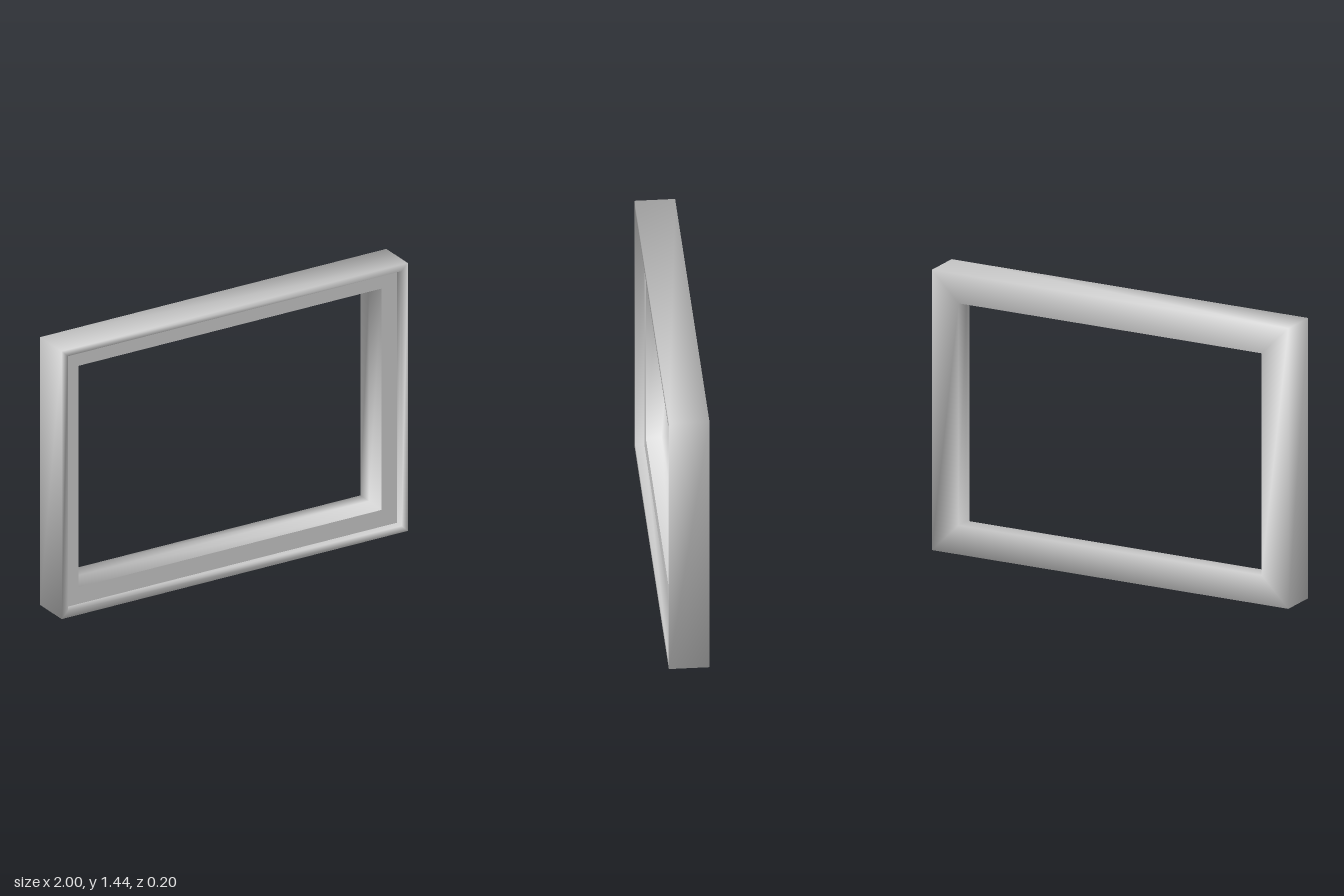
import * as THREE from 'three';

const HALF_W = 1, HALF_H = 0.72;
const CORNERS = [[-1, -1], [1, -1], [1, 1], [-1, 1]];

// Sweeps a profile of [inset, z] points around the four mitred corners.
function sweepFrame(profile) {
  const n = profile.length;
  const positions = [];
  const index = [];
  for (const [sx, sy] of CORNERS) {
    for (const [inset, z] of profile) {
      positions.push(sx * (HALF_W - inset), HALF_H + sy * (HALF_H - inset), z);
    }
  }
  for (let c = 0; c < 4; c++) {
    const next = (c + 1) % 4;
    for (let i = 0; i < n - 1; i++) {
      const p0 = c * n + i, p1 = next * n + i;
      index.push(p0, p1, p0 + 1, p1, p1 + 1, p0 + 1);
    }
  }
  const geometry = new THREE.BufferGeometry();
  geometry.setAttribute('position', new THREE.Float32BufferAttribute(positions, 3));
  geometry.setIndex(index);
  geometry.computeVertexNormals();
  return geometry;
}

export function createModel() {
  const group = new THREE.Group();
  group.name = 'pictureFrame';
  const material = new THREE.MeshStandardMaterial({ color: 0xcccccc });

  function addPart(name, profile) {
    const mesh = new THREE.Mesh(sweepFrame(profile), material);
    mesh.name = name;
    group.add(mesh);
  }

  // Sloped inner edge, opening wall, back, outer sides and raised front rim
  addPart('frameBody', [
    [0.125, 0.055], [0.15, -0.02], [0.15, -0.1],
    [0, -0.1], [0, 0.1], [0.035, 0.1], [0.035, 0.055],
  ]);

  // Flat recessed face between the rim and the inner edge
  addPart('recessedFace', [[0.035, 0.055], [0.125, 0.055]]);

  return group;
}
